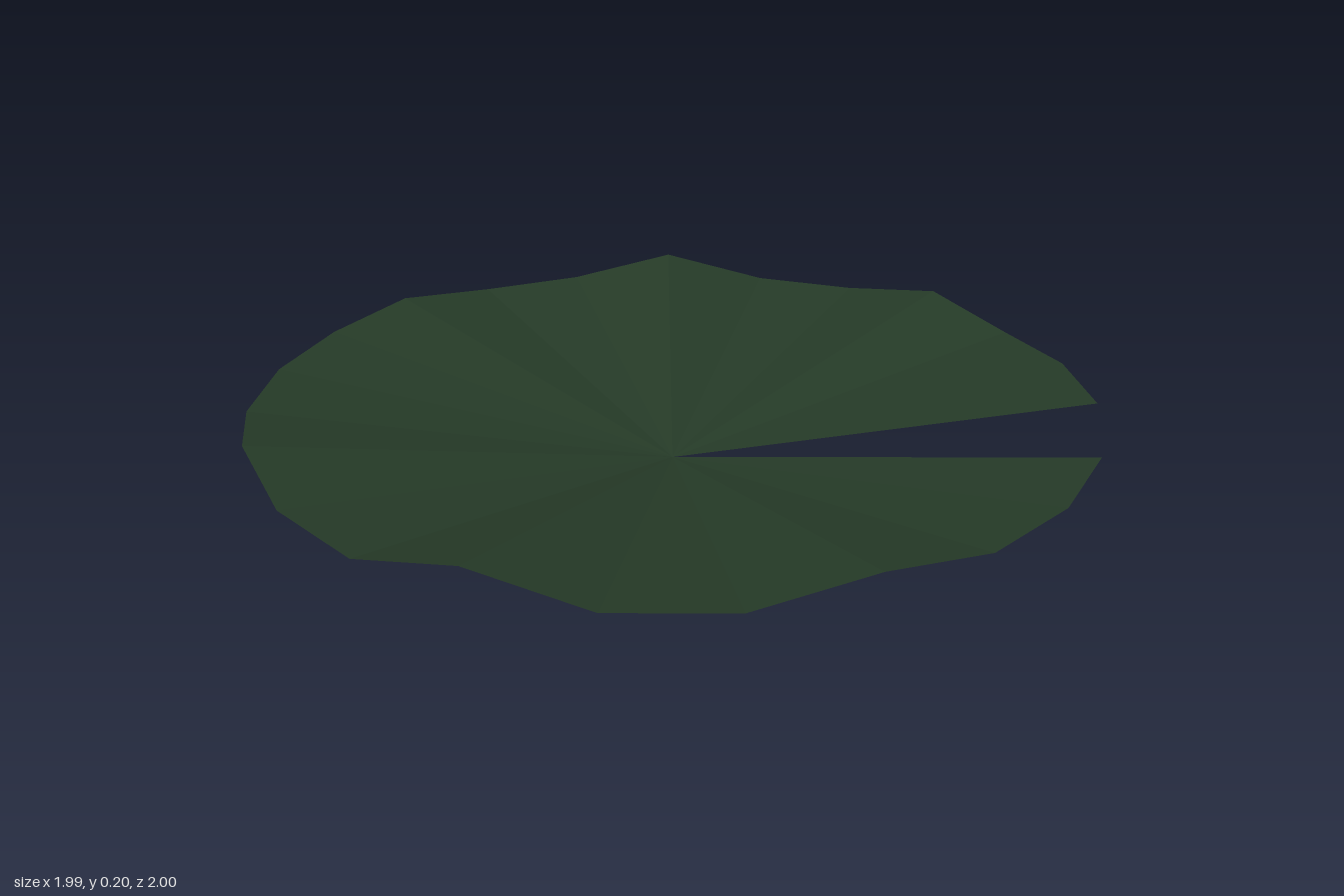
import * as THREE from 'three';

// Rim heights in order around the leaf, from one side of the notch to the other
const RIM_HEIGHTS = [
  0.155, 0.15, 0.15, 0.184, 0.137, 0.137, 0.195, 0.135, 0.142, 0.18, 0.15, 0.15,
  0.155, 0.172, 0.14, 0.14, 0.196, 0.135, 0.14, 0.187, 0.147, 0.157, 0.161,
];
const NOTCH_HALF_ANGLE = THREE.MathUtils.degToRad(8.6);

export function createModel() {
  const group = new THREE.Group();
  group.name = 'lilyPad';

  const leafGreen = new THREE.MeshStandardMaterial({
    color: 0x253a27, flatShading: true, side: THREE.DoubleSide,
  });
  leafGreen.name = 'leafGreen';

  // Rim points at even angles, leaving the notch open towards +x
  const segments = RIM_HEIGHTS.length - 1;
  const step = (2 * Math.PI - 2 * NOTCH_HALF_ANGLE) / segments;
  const rim = RIM_HEIGHTS.map((y, i) => {
    const angle = NOTCH_HALF_ANGLE + i * step;
    return new THREE.Vector3(Math.cos(angle), y, Math.sin(angle));
  });

  // Fan of flat facets rising from the low centre to the wavy rim
  const centre = new THREE.Vector3(0, 0, 0);
  const corners = [];
  for (let i = 0; i < segments; i++) corners.push(centre, rim[i + 1], rim[i]);
  const geometry = new THREE.BufferGeometry().setFromPoints(corners);
  geometry.computeVertexNormals();

  const leaf = new THREE.Mesh(geometry, leafGreen);
  leaf.name = 'leaf';
  group.add(leaf);
  return group;
}
